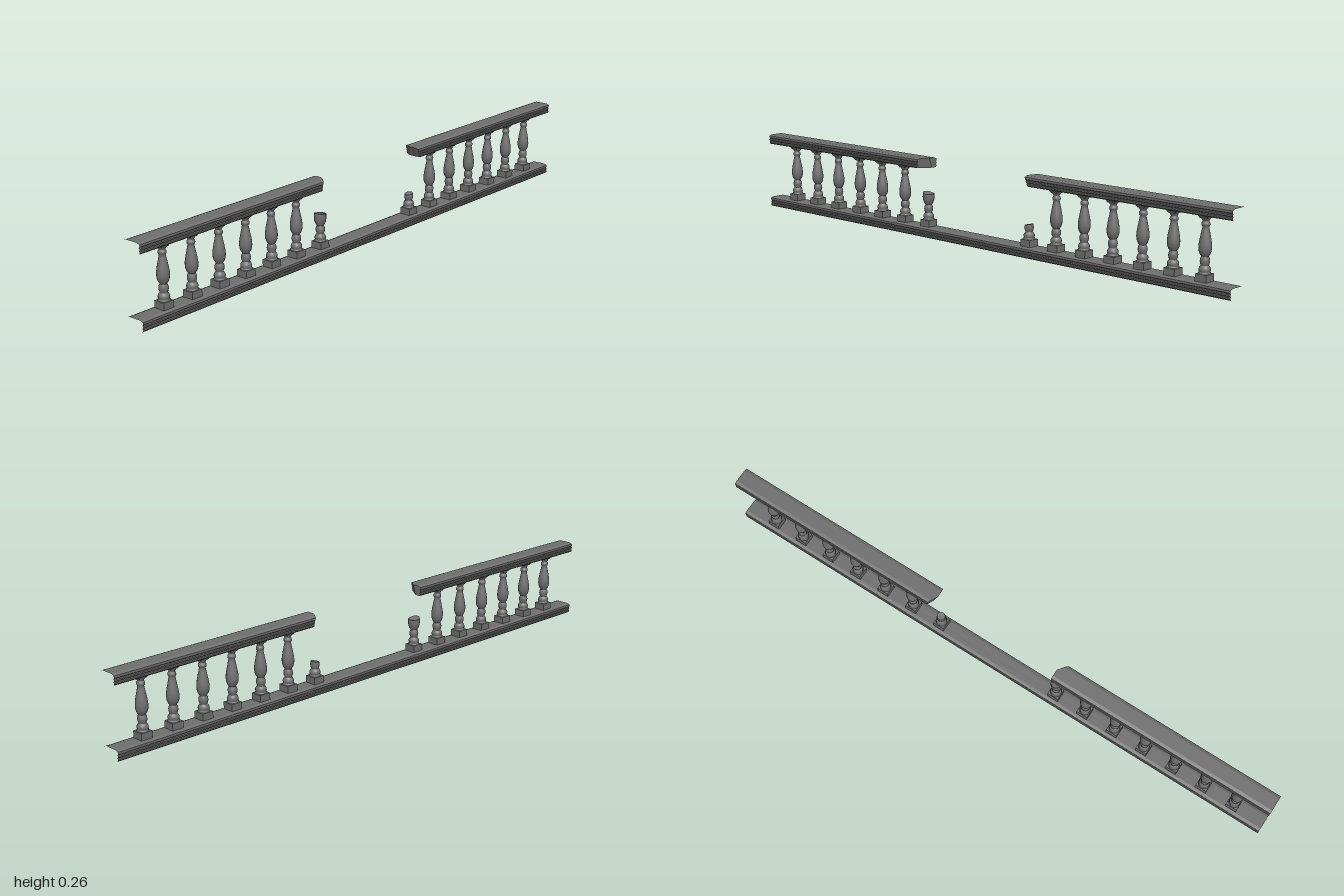
import * as THREE from 'three';

const stone = new THREE.MeshStandardMaterial({ color: 0x707070 });
stone.name = 'weathered stone';

const RAIL_H = 0.033;
// Right half of the moulded rail section, bottom to top: [z, y]
const MOULDING = [
  [0.029, 0], [0.032, 0.004], [0.032, 0.008], [0.029, 0.01], [0.032, 0.013],
  [0.032, 0.017], [0.029, 0.019], [0.032, 0.022], [0.032, 0.029], [0.022, 0.033],
];
// Closed section; the middle points of top and bottom carry the crease of a break
const SECTION = [
  ...MOULDING, [0, RAIL_H],
  ...MOULDING.map(([z, y]) => [-z, y]).reverse(), [-0.01, 0],
];

// Turned baluster profile: [radius, height]
const BALUSTER = [
  [0.018, 0.055], [0.018, 0.059], [0.0155, 0.06], [0.0175, 0.064], [0.0175, 0.069],
  [0.0155, 0.074], [0.012, 0.078], [0.0115, 0.08], [0.0138, 0.085], [0.0148, 0.092],
  [0.0138, 0.099], [0.011, 0.104], [0.0112, 0.106], [0.0155, 0.112], [0.0185, 0.121],
  [0.0195, 0.131], [0.019, 0.142], [0.0165, 0.157], [0.0135, 0.172], [0.011, 0.184],
  [0.0095, 0.192], [0.0122, 0.195], [0.0128, 0.199], [0.0122, 0.203], [0.0095, 0.206],
  [0.0095, 0.209], [0.012, 0.212], [0.014, 0.218],
];

function mesh(geometry, name) {
  const m = new THREE.Mesh(geometry, stone);
  m.name = name;
  return m;
}

// Sweeps the section between two end rules x = f(z, y); broken ends get a cap
function rail(name, startX, endX, baseY, capStart, capEnd) {
  const pos = [];
  const at = (f, [z, y]) => [f(z, y), baseY + y, z];
  const middle = [-0.005, RAIL_H / 2];
  SECTION.forEach((p, i) => {
    const q = SECTION[(i + 1) % SECTION.length];
    const a = at(startX, p), b = at(endX, p), c = at(endX, q), d = at(startX, q);
    pos.push(...a, ...b, ...c, ...a, ...c, ...d);
    if (capEnd) pos.push(...at(endX, middle), ...c, ...b);
    if (capStart) pos.push(...at(startX, middle), ...a, ...d);
  });
  const g = new THREE.BufferGeometry();
  g.setAttribute('position', new THREE.Float32BufferAttribute(pos, 3));
  g.computeVertexNormals();
  return mesh(g, name);
}

// Square block that may taper, with flat faces
function squareBlock(name, halfBottom, halfTop, y0, y1) {
  const s = Math.SQRT2;
  const g = new THREE.CylinderGeometry(halfTop * s, halfBottom * s, y1 - y0, 4)
    .rotateY(Math.PI / 4).translate(0, (y0 + y1) / 2, 0).toNonIndexed();
  g.computeVertexNormals();
  return mesh(g, name);
}

// Whole baluster, or a stump snapped off at breakY with a slanted top
function baluster(x, breakY = null, tilt = 0) {
  const group = new THREE.Group();
  group.name = breakY ? 'brokenBaluster' : 'baluster';
  group.position.x = x;
  group.add(squareBlock('plinth', 0.0195, 0.0195, 0.033, 0.055));

  const points = BALUSTER.filter(([, y]) => !breakY || y < breakY)
    .map(([r, y]) => new THREE.Vector2(r, y));
  const shaft = new THREE.LatheGeometry(points, 16);
  group.add(mesh(shaft, 'shaft'));

  if (breakY) {
    // Slanted fracture above the last profile ring
    const last = points[points.length - 1];
    const stub = new THREE.LatheGeometry([
      last, new THREE.Vector2(last.x * 0.97, breakY),
    ], 16);
    const top = new THREE.LatheGeometry([
      new THREE.Vector2(last.x * 0.97, breakY), new THREE.Vector2(0, breakY - 0.001),
    ], 16);
    for (const g of [stub, top]) {
      const p = g.attributes.position;
      for (let i = 0; i < p.count; i++) {
        if (p.getY(i) > last.y + 1e-5) p.setY(i, p.getY(i) + tilt * p.getX(i));
      }
      g.computeVertexNormals();
    }
    group.add(mesh(stub, 'brokenEdge'), mesh(top, 'fracture'));
  } else {
    group.add(squareBlock('capital', 0.0125, 0.0175, 0.216, 0.225));
    group.add(squareBlock('abacus', 0.0175, 0.0175, 0.225, 0.23));
  }
  return group;
}

export function createModel() {
  const model = new THREE.Group();
  model.name = 'brokenBalustrade';

  // Rails: the lower runs through, the upper is broken in the middle
  const left = () => 1, right = () => -1;
  const breakRight = (z, y) => {
    const crease = -0.01 + 0.01 * y / RAIL_H;
    return -0.217 - 0.7 * Math.max(0, z - crease);
  };
  const breakLeft = (z, y) => {
    const crease = -0.01 + 0.01 * y / RAIL_H;
    return 0.228 + 0.4 * (RAIL_H - y) + 0.5 * Math.max(0, crease - z);
  };
  const topY = 0.26 - RAIL_H;
  model.add(rail('bottomRail', right, left, 0, false, false));
  model.add(rail('topRailRight', right, breakRight, topY, false, true));
  model.add(rail('topRailLeft', breakLeft, left, topY, true, false));

  // Whole balusters on both sides of the gap
  const spacing = 0.111;
  for (const side of [-1, 1]) {
    for (let i = 3; i <= 8; i++) model.add(baluster(side * i * spacing));
  }
  // Snapped balusters beside the gap
  model.add(baluster(-2 * spacing, 0.143, -0.25));
  model.add(baluster(2 * spacing, 0.102, 0.2));
  return model;
}
